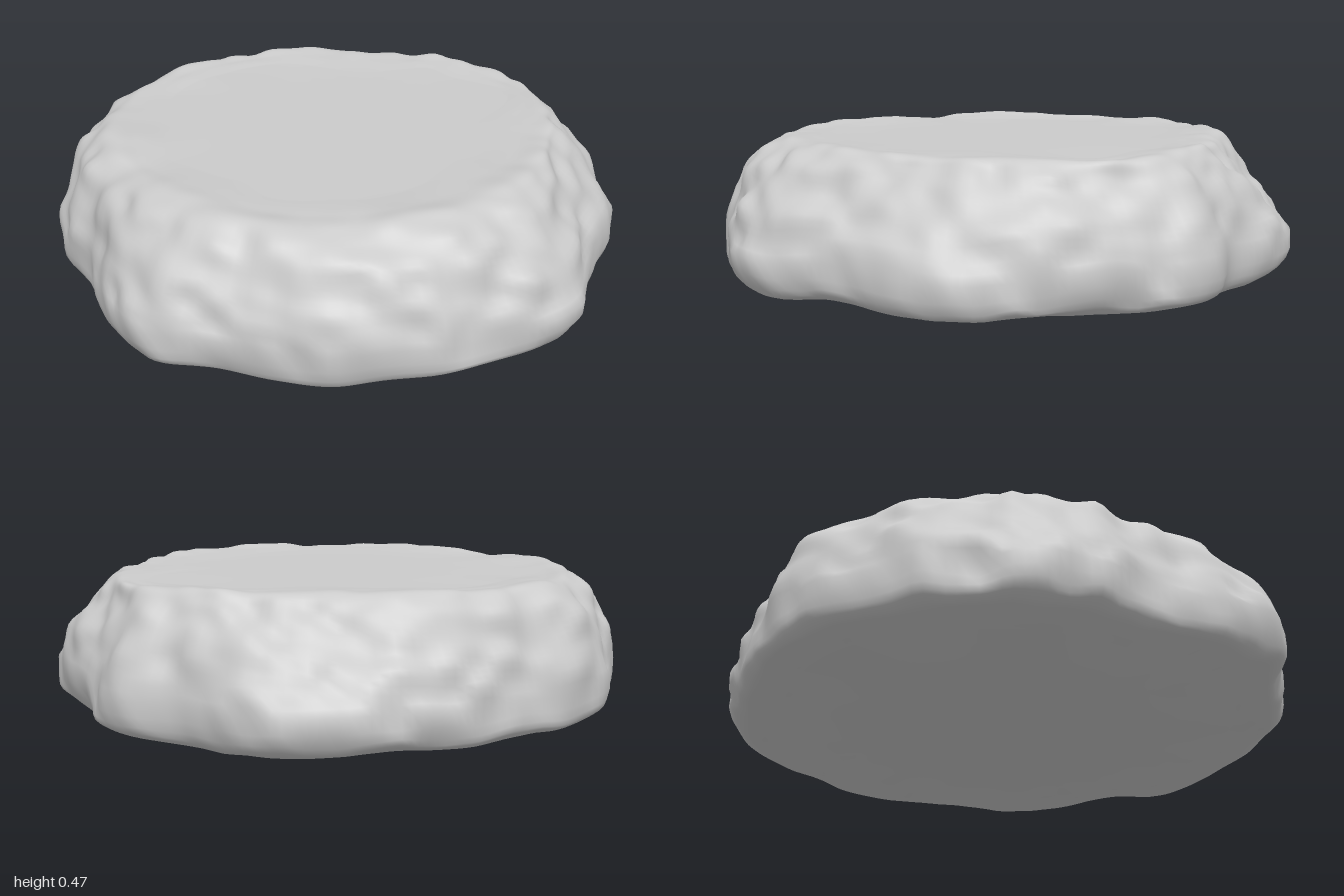
import * as THREE from 'three';

// Outer radius every 10 degrees, from +x round towards +z
const OUTER = [0.99, 0.965, 0.935, 0.945, 1.01, 1.02, 1.0, 0.99, 0.985, 1.0, 0.985, 0.99,
  1.05, 1.03, 1.0, 0.96, 1.0, 1.01, 1.005, 1.01, 1.005, 1.01, 1.0, 0.965,
  0.945, 0.95, 0.965, 0.985, 1.0, 0.965, 0.92, 0.975, 0.955, 0.91, 0.925, 0.965];
// Every 30 degrees: radius of the upper rim, and how far the side bulges (0 sloped, 1 barrel-like)
const RIM = [0.71, 0.72, 0.76, 0.79, 0.8, 0.8, 0.82, 0.84, 0.79, 0.73, 0.77, 0.79];
const BULGE = [0.1, 0.35, 0.65, 0.75, 0.7, 0.7, 0.8, 0.65, 0.45, 0.25, 0.35, 0.4];
// Section from rim to base: share of the way from rim to outer radius on
// a sloped side, height, and the same share on a bulging side
const SIDE = [[-0.9, 0.47, -0.9], [-0.4, 0.475, -0.4], [0, 0.477, 0], [0.1, 0.446, 0.37],
  [0.25, 0.4, 0.64], [0.45, 0.33, 0.83], [0.7, 0.26, 0.95], [0.88, 0.2, 1],
  [1, 0.14, 1], [0.93, 0.08, 0.96], [0.75, 0.045, 0.83], [0.4, 0.031, 0.5], [0, 0.028, 0]];

// Smooth closed interpolation of a list, u in 0..1
function around(list, u) {
  const n = list.length, f = u * n, i = Math.floor(f), t = f - i;
  const [a, b, c, d] = [-1, 0, 1, 2].map((k) => list[(i + k + n) % n]);
  return b + 0.5 * t * (c - a + t * (2 * a - 5 * b + 4 * c - d + t * (3 * (b - c) + d - a)));
}

// Seeded value noise in -1..1
function hash(x, y, z) {
  const s = Math.sin(x * 127.1 + y * 311.7 + z * 74.7 + 5.3) * 43758.5453;
  return (s - Math.floor(s)) * 2 - 1;
}
function noise(x, y, z) {
  const [i, j, k] = [x, y, z].map(Math.floor);
  const [u, v, w] = [x - i, y - j, z - k].map((t) => t * t * (3 - 2 * t));
  const mix = THREE.MathUtils.lerp;
  const edge = (b, c) => mix(hash(i, b, c), hash(i + 1, b, c), u);
  return mix(mix(edge(j, k), edge(j + 1, k), v), mix(edge(j, k + 1), edge(j + 1, k + 1), v), w);
}

function rockGeometry() {
  const COLS = 200, SIDE_ROWS = 64, FLAT_ROWS = 8;
  const { smoothstep, lerp, clamp } = THREE.MathUtils;
  const section = new THREE.CatmullRomCurve3(SIDE.map((p) => new THREE.Vector3(...p)));
  const profile = section.getSpacedPoints(SIDE_ROWS);
  const rows = SIDE_ROWS + 1 + 2 * FLAT_ROWS;
  const positions = [], index = [];

  for (let i = 0; i < rows; i++) {
    const k = clamp(i - FLAT_ROWS, 0, SIDE_ROWS);
    // The rows before and after the side shrink to the middle of the top and base
    const shrink = Math.min(1, i / FLAT_ROWS, (rows - 1 - i) / FLAT_ROWS);
    const { x: sloped, y: height, z: bulged } = profile[k];
    const bumpy = smoothstep(k, 4, 28) * (1 - smoothstep(k, SIDE_ROWS - 22, SIDE_ROWS - 4));
    for (let j = 0; j < COLS; j++) {
      const u = j / COLS, c = Math.cos(u * Math.PI * 2), s = Math.sin(u * Math.PI * 2);
      const share = lerp(sloped, bulged, around(BULGE, u));
      let r = lerp(around(RIM, u), around(OUTER, u), share) * shrink;
      const x = c * r, z = s * r;
      // Broad lumps and finer knobs on the weathered side, faint waves towards the flats
      const lump = noise(x * 5, height * 7, z * 5), knob = noise(x * 12, height * 14, z * 12);
      r += bumpy * (0.016 * lump + 0.016 * knob);
      const y = height + bumpy * (0.014 * lump + 0.012 * knob)
        + 0.012 * smoothstep(r, 0.5, 0.85) * noise(x * 5, 9 + height * 4, z * 5);
      positions.push(c * r, y, s * r);
      if (i < rows - 1) {
        const p = i * COLS + j, q = i * COLS + ((j + 1) % COLS);
        if (i > 0) index.push(p, q, p + COLS);
        if (i < rows - 2) index.push(q, q + COLS, p + COLS);
      }
    }
  }

  const geometry = new THREE.BufferGeometry();
  geometry.setAttribute('position', new THREE.Float32BufferAttribute(positions, 3));
  geometry.setIndex(index);
  // Centre and stand on the ground
  geometry.computeBoundingBox();
  const box = geometry.boundingBox, mid = box.getCenter(new THREE.Vector3());
  geometry.translate(-mid.x, -box.min.y, -mid.z);
  geometry.computeVertexNormals();
  // The end rows collapse to a point, so give them plain normals
  const normals = geometry.attributes.normal;
  for (let j = 0; j < COLS; j++) {
    normals.setXYZ(j, 0, 1, 0);
    normals.setXYZ((rows - 1) * COLS + j, 0, -1, 0);
  }
  return geometry;
}

export function createModel() {
  const group = new THREE.Group();
  group.name = 'flatRock';
  const rock = new THREE.Mesh(rockGeometry(), new THREE.MeshStandardMaterial({ color: 0xcccccc }));
  rock.name = 'rockSlab';
  group.add(rock);
  return group;
}
